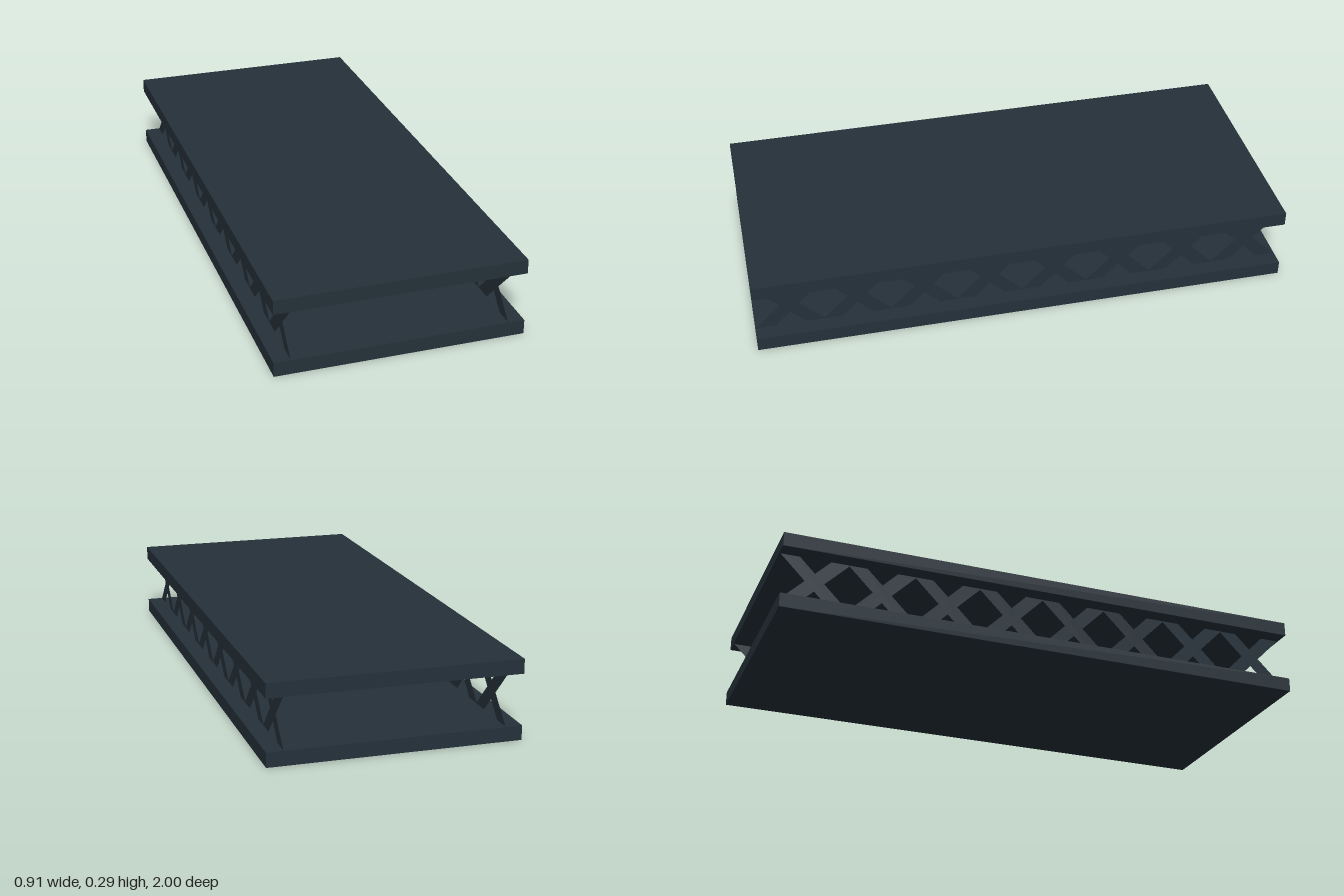
import * as THREE from 'three';

const WIDTH = 0.906, LENGTH = 2, HEIGHT = 0.291, PLATE = 0.053;
const BAYS = 8, PITCH = 0.248, BRACE_X = 0.393;

export function createModel() {
  const model = new THREE.Group();
  model.name = 'trussPlatform';

  const steel = new THREE.MeshStandardMaterial({ color: 0x25313a });
  steel.name = 'dark slate';
  // the braces are flat strips, seen from both sides
  const strip = steel;
  strip.side = THREE.DoubleSide;

  // lower and upper decks
  const deck = new THREE.BoxGeometry(WIDTH, PLATE, LENGTH);
  for (const [name, y] of [['lowerDeck', PLATE / 2], ['upperDeck', HEIGHT - PLATE / 2]]) {
    const mesh = new THREE.Mesh(deck, steel);
    mesh.name = name;
    mesh.position.y = y;
    model.add(mesh);
  }

  // one flat diagonal strip facing sideways
  const diagonal = (angle) =>
    new THREE.PlaneGeometry(0.317, 0.05).rotateZ(angle).rotateY(Math.PI / 2);
  const diagonals = [diagonal(Math.PI / 4), diagonal(-Math.PI / 4)];

  // a row of crossed braces along each long side
  for (const side of [-1, 1]) {
    const row = new THREE.Group();
    row.name = side > 0 ? 'leftBraces' : 'rightBraces';
    row.position.set(side * BRACE_X, HEIGHT / 2, 0);
    for (let i = 0; i < BAYS; i++) {
      for (const geometry of diagonals) {
        const brace = new THREE.Mesh(geometry, strip);
        brace.name = 'crossBrace';
        brace.position.z = (i - (BAYS - 1) / 2) * PITCH;
        row.add(brace);
      }
    }
    model.add(row);
  }
  return model;
}
